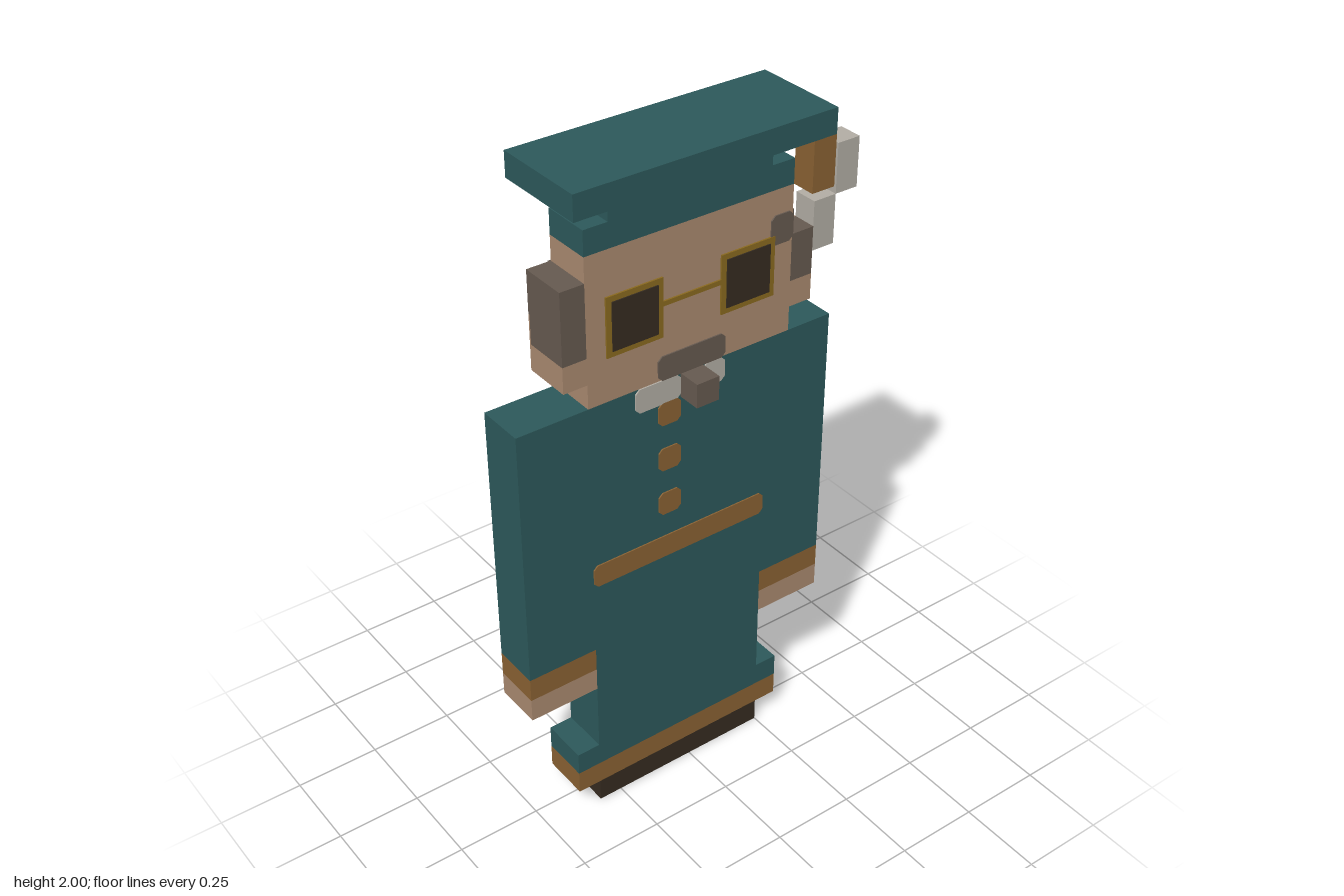
import * as THREE from 'three';

const U = 1 / 14; // block size
const D = U;      // half depth of the figure

const mat = (name, color) => {
  const m = new THREE.MeshStandardMaterial({ color });
  m.name = name;
  return m;
};

export function createModel() {
  const teal = mat('teal cloth', 0x2d595b);
  const skin = mat('skin', 0xaa8a70);
  const trim = mat('ochre trim', 0x8a6233);
  const dark = mat('dark brown', 0x362c21);
  const hair = mat('hair', 0x665a50);
  const pale = mat('pale grey', 0xb3aea5);
  const gold = mat('gold wire', 0x8a6a20);

  const model = new THREE.Group();
  model.name = 'figure';
  const group = (name) => {
    const g = new THREE.Group();
    g.name = name;
    model.add(g);
    return g;
  };

  // Box given by its limits on each axis
  function box(parent, name, m, x0, x1, y0, y1, z0 = -D, z1 = D) {
    const mesh = new THREE.Mesh(new THREE.BoxGeometry(x1 - x0, y1 - y0, z1 - z0), m);
    mesh.position.set((x0 + x1) / 2, (y0 + y1) / 2, (z0 + z1) / 2);
    mesh.name = name;
    parent.add(mesh);
    return mesh;
  }

  // Thin painted plate with clipped corners, on the front (side 1) or back (side -1)
  function plate(parent, name, m, x0, x1, y0, y1, side = 1, c = 0.012) {
    const s = new THREE.Shape([
      [x0 + c, y0], [x1 - c, y0], [x1, y0 + c], [x1, y1 - c],
      [x1 - c, y1], [x0 + c, y1], [x0, y1 - c], [x0, y0 + c],
    ].map(([x, y]) => new THREE.Vector2(x, y)));
    const mesh = new THREE.Mesh(new THREE.ExtrudeGeometry(s, { depth: 0.004, bevelEnabled: false }), m);
    mesh.position.z = side > 0 ? D : -D - 0.004;
    mesh.name = name;
    parent.add(mesh);
  }

  // Robe
  const robe = group('robe');
  box(robe, 'upperRobe', teal, -7.5 * U, 6.5 * U, 8 * U, 19 * U);
  box(robe, 'lowerRobe', teal, -4.5 * U, 3.5 * U, 3 * U, 8 * U);
  box(robe, 'skirt', teal, -5.5 * U, 4.5 * U, 2 * U, 3 * U);
  box(robe, 'hem', trim, -5.5 * U, 4.5 * U, U, 2 * U);
  box(robe, 'shoes', dark, -4.5 * U, 3.5 * U, 0, U);
  for (const side of [1, -1]) plate(robe, 'belt', trim, -4.5 * U, 3.5 * U, 0.789, 0.858, side);
  for (const y of [0.932, 1.075, 1.218]) plate(robe, 'button', trim, -1.5 * U, -0.5 * U, y, y + 0.07);

  // Cuffs and hands
  const arms = group('arms');
  for (const [x0, x1] of [[-7.5 * U, -4.5 * U], [3.5 * U, 6.5 * U]]) {
    box(arms, 'cuff', trim, x0, x1, 7 * U, 8 * U);
    box(arms, 'hand', skin, x0, x1, 6 * U, 7 * U);
  }

  // Head and ears
  const head = group('head');
  box(head, 'face', skin, -4.5 * U, 4.5 * U, 19 * U, 25 * U);
  box(head, 'rightSideHair', hair, -5.5 * U, -4.5 * U, 1.59, 24 * U);
  box(head, 'rightSideburn', hair, -5.5 * U, -4.5 * U, 1.505, 1.59, -D + 0.005, D);
  box(head, 'rightEarBack', skin, -5.5 * U, -4.5 * U, 1.505, 1.59, -D, -D + 0.005);
  box(head, 'rightEarlobe', skin, -5.5 * U, -4.5 * U, 20 * U, 1.505);
  box(head, 'leftEar', skin, 4.5 * U, 5.5 * U, 20 * U, 23 * U, -D, 0);
  box(head, 'leftEarlobe', skin, 4.5 * U, 5.5 * U, 20 * U, 1.505, 0, D);
  box(head, 'leftSideburn', hair, 4.5 * U, 5.5 * U, 1.505, 23 * U, 0, D);

  // Hair painted round the back and the left temple
  plate(head, 'backHair', hair, -3.5 * U, 3.5 * U, 1.515, 24 * U, -1);
  plate(head, 'backHairRight', hair, -4.6 * U, -3.5 * U, 1.59, 24 * U, -1, 0);
  plate(head, 'backHairLeft', hair, 3.5 * U, 4.5 * U, 1.59, 24 * U, -1);
  plate(head, 'templeHair', hair, 3.5 * U, 4.5 * U, 1.63, 24 * U);
  box(head, 'templeSideHair', hair, 4.5 * U, 4.5 * U + 0.004, 23 * U, 24 * U);

  // Moustache, beard and chin tuft
  plate(head, 'moustache', hair, -1.5 * U, 1.5 * U, 19 * U, 20 * U);
  plate(head, 'beardRight', pale, -2.5 * U, -0.5 * U, 18 * U, 19 * U);
  plate(head, 'beardLeft', pale, 0.5 * U, 1.5 * U, 18 * U, 19 * U);
  box(head, 'chinTuft', hair, -0.5 * U, 0.5 * U, 18 * U, 19 * U, D, 2 * D);

  // Glasses
  const glasses = group('glasses');
  for (const x of [-0.178, 0.176]) {
    box(glasses, 'frame', gold, x - 0.086, x + 0.086, 1.486, 1.658, D, D + 0.005);
    box(glasses, 'lens', dark, x - 0.07, x + 0.07, 1.502, 1.642, D, D + 0.008);
  }
  box(glasses, 'bridge', gold, -0.094, 0.092, 1.575, 1.589, D, D + 0.005);

  // Flat-topped hat and tassel
  const hat = group('hat');
  box(hat, 'hatBand', teal, -4.5 * U, 4.5 * U, 25 * U, 26 * U);
  box(hat, 'hatCrown', teal, -3.5 * U, 3.5 * U, 26 * U, 27 * U);
  box(hat, 'hatBoard', teal, -5.5 * U, 5.5 * U, 27 * U, 28 * U, -2 * D, 2 * D);
  box(hat, 'tassel', trim, 4.5 * U, 5.5 * U, 25 * U, 27 * U, D, 2 * D);

  // Stray pale tuft beside the left ear
  const tuft = group('sideTuft');
  box(tuft, 'tuftLower', pale, 5.5 * U, 6.5 * U, 22 * U, 24 * U, 0, D);
  box(tuft, 'tuftUpper', pale, 6.5 * U, 7.5 * U, 24 * U, 26 * U, 0, D);

  return model;
}
